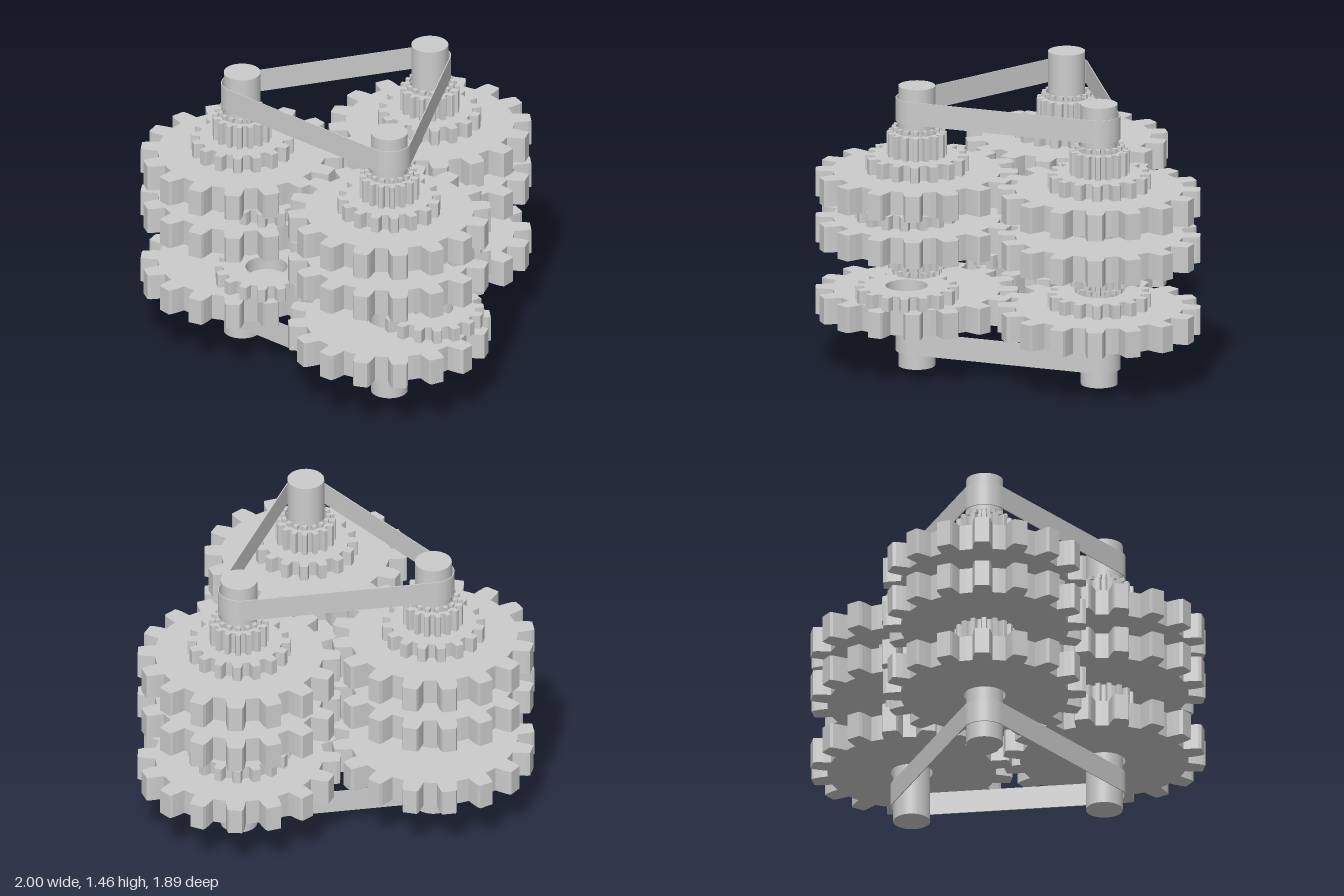
import * as THREE from 'three';

// Shaft centres (x, z); tooth phase of each column; shift of its loose gears
const COLUMNS = [
  { name: 'right', x: -0.495, z: 0.395, phase: Math.PI / 16, shift: [0.235, 0.095] },
  { name: 'left', x: 0.49, z: 0.435, phase: 0, shift: [0.18, -0.12] },
  { name: 'rear', x: 0.045, z: -0.435, phase: 0, shift: [0, 0] },
];
const TEETH = 16;
const SHAFT_R = 0.093, BORE_R = 0.106, HEIGHT = 1.46;

// Gear layers from bottom to top: name, outer radius, bottom, top, loose
const LAYERS = [
  ['largeGear', 0.51, 0.27, 0.405],
  ['mediumGear', 0.26, 0.405, 0.475, true],
  ['tinyGear', 0.126, 0.485, 0.51],
  ['smallGear', 0.151, 0.52, 0.635],
  ['largeGear', 0.51, 0.645, 0.78],
  ['tinyGear', 0.126, 0.79, 0.815],
  ['mediumGear', 0.26, 0.83, 0.9, true],
  ['largeGear', 0.51, 0.885, 1.02],
  ['mediumGear', 0.26, 1.02, 1.1],
  ['smallGear', 0.151, 1.1, 1.22],
  ['tinyGear', 0.126, 1.23, 1.25],
];

// Half of a tooth outline: [half angle, share of outer radius]
const TOOTH = [[0.118, 0.83], [0.103, 0.9], [0.085, 0.97], [0.068, 1]];

const material = new THREE.MeshStandardMaterial({ color: 0xcccccc, flatShading: true });
const smooth = new THREE.MeshStandardMaterial({ color: 0xcccccc });

// Extrude a plan shape upward from y = bottom to y = top
function extrudeUp(shape, bottom, top, curveSegments) {
  const geo = new THREE.ExtrudeGeometry(shape, { depth: top - bottom, bevelEnabled: false, curveSegments });
  return geo.rotateX(-Math.PI / 2).translate(0, bottom, 0);
}

function gearGeometry(radius, bottom, top, phase) {
  const points = [];
  for (let i = 0; i < TEETH; i++) {
    const mid = phase + (i / TEETH) * Math.PI * 2;
    const add = (angle, share) => points.push(new THREE.Vector2(
      Math.cos(mid + angle) * radius * share, Math.sin(mid + angle) * radius * share));
    TOOTH.forEach(([a, r]) => add(-a, r));
    [...TOOTH].reverse().forEach(([a, r]) => add(a, r));
    add(Math.PI / TEETH, 0.83); // middle of the valley
  }
  const shape = new THREE.Shape(points);
  const bore = new THREE.Path();
  bore.absarc(0, 0, Math.min(BORE_R, radius * 0.825), 0, Math.PI * 2, true);
  shape.holes.push(bore);
  return extrudeUp(shape, bottom, top, 24);
}

// Closed loop stretched round the three shafts at a given radius
function loopPath(path, radius) {
  const c = COLUMNS.map(({ x, z }) => new THREE.Vector2(x, -z));
  const normal = (a, b) => Math.atan2(b.y - a.y, b.x - a.x) - Math.PI / 2;
  c.forEach((p, i) => {
    const before = c[(i + 2) % 3], after = c[(i + 1) % 3];
    path.absarc(p.x, p.y, radius, normal(before, p), normal(p, after), false);
  });
  path.closePath();
  return path;
}

export function createModel() {
  const model = new THREE.Group();
  model.name = 'gearTrain';

  for (const col of COLUMNS) {
    const column = new THREE.Group();
    column.name = `${col.name}Column`;
    column.position.set(col.x, 0, col.z);

    // Shaft
    const shaft = new THREE.Mesh(new THREE.CylinderGeometry(SHAFT_R, SHAFT_R, HEIGHT, 32), smooth);
    shaft.name = 'shaft';
    shaft.position.y = HEIGHT / 2;
    column.add(shaft);

    // Stacked gears
    for (const [name, radius, bottom, top, loose] of LAYERS) {
      const gear = new THREE.Mesh(gearGeometry(radius, bottom, top, col.phase), material);
      gear.name = name;
      if (loose) gear.position.set(col.shift[0], 0, col.shift[1]);
      column.add(gear);
    }
    model.add(column);
  }

  // Thin belts at the bottom and top
  for (const [name, bottom, top] of [['lowerBelt', 0.08, 0.2], ['upperBelt', 1.28, 1.4]]) {
    const shape = loopPath(new THREE.Shape(), 0.107);
    shape.holes.push(loopPath(new THREE.Path(), 0.102));
    const belt = new THREE.Mesh(extrudeUp(shape, bottom, top, 16), material);
    belt.name = name;
    model.add(belt);
  }
  return model;
}
